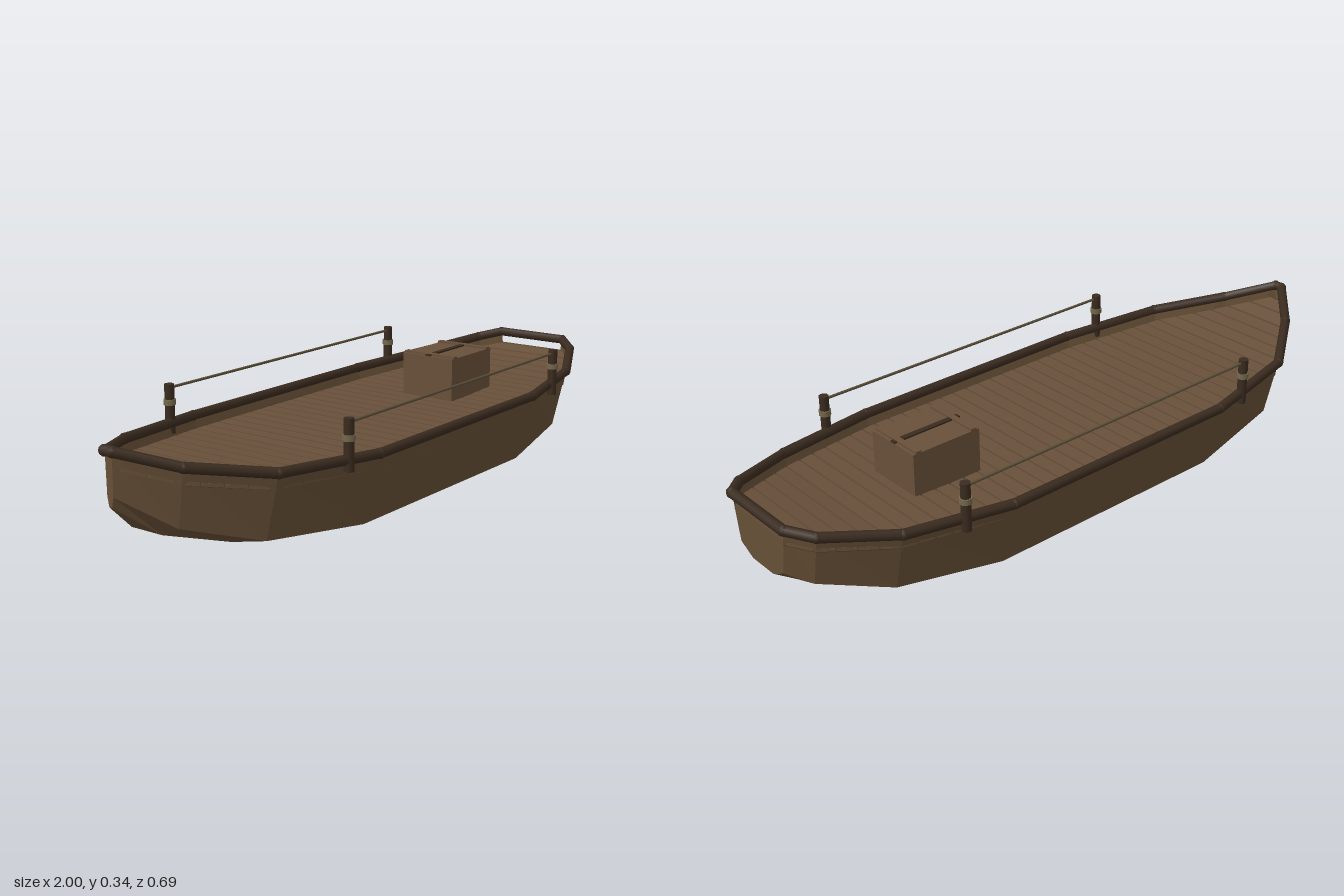
import * as THREE from 'three';
import { mergeGeometries } from 'three/addons/utils/BufferGeometryUtils.js';

const mat = (name, color, extra = {}) => Object.assign(new THREE.MeshStandardMaterial({ color, ...extra }), { name });

// Stations along the hull: x, sheer height, bottom height, sheer half width
const STATIONS = [
  [-0.985, 0.325, 0.185, 0.012],
  [-0.87, 0.28, 0.095, 0.13],
  [-0.68, 0.245, 0.035, 0.265],
  [-0.35, 0.23, 0, 0.328],
  [0.43, 0.23, 0, 0.328],
  [0.74, 0.243, 0.035, 0.27],
  [0.93, 0.272, 0.095, 0.178],
  [0.985, 0.288, 0.125, 0.118],
];
const DECK_DROP = 0.036;

// Sheer height and half width at any x
function sheerAt(x) {
  let i = 0;
  while (i < STATIONS.length - 2 && x > STATIONS[i + 1][0]) i++;
  const a = STATIONS[i], b = STATIONS[i + 1];
  const t = (x - a[0]) / (b[0] - a[0]);
  return { y: a[1] + (b[1] - a[1]) * t, w: a[3] + (b[3] - a[3]) * t };
}

// Flat-faced surface through rows of points
function loft(rows) {
  const pos = [];
  for (let i = 0; i < rows.length - 1; i++) {
    for (let j = 0; j < rows[i].length - 1; j++) {
      const a = rows[i][j], b = rows[i + 1][j], c = rows[i + 1][j + 1], d = rows[i][j + 1];
      pos.push(...a, ...b, ...c, ...a, ...c, ...d);
    }
  }
  const g = new THREE.BufferGeometry();
  g.setAttribute('position', new THREE.Float32BufferAttribute(pos, 3));
  g.computeVertexNormals();
  return g;
}

export function createModel() {
  const model = new THREE.Group();
  model.name = 'boat';
  const hullWood = mat('hull wood', 0x664f36, { side: THREE.DoubleSide });
  const deckWood = mat('deck wood', 0x68503a);
  const darkWood = mat('dark wood', 0x3a2b1f, { side: THREE.DoubleSide });
  const ropeMat = mat('rope', 0x5c5039);
  const bandMat = mat('post band', 0x74694c);

  const add = (name, geo, material, x = 0, y = 0, z = 0, parent = model) => {
    const m = new THREE.Mesh(geo, material);
    m.name = name;
    m.position.set(x, y, z);
    parent.add(m);
    return m;
  };

  // Rod between two points
  const rod = (a, b, r, sides) => {
    const dir = b.clone().sub(a);
    const g = new THREE.CylinderGeometry(r, r, dir.length(), sides);
    g.applyQuaternion(new THREE.Quaternion().setFromUnitVectors(new THREE.Vector3(0, 1, 0), dir.normalize()));
    return g.translate((a.x + b.x) / 2, (a.y + b.y) / 2, (a.z + b.z) / 2);
  };

  // Hull: sheer, chine and flat bottom on each side
  const half = ([x, ys, yb, w]) => [[x, ys, w], [x, yb + 0.027, w * 0.84], [x, yb, w * 0.4]];
  const mirror = ([x, y, z]) => [x, y, -z];
  const section = (s) => [...half(s), ...half(s).reverse().map(mirror)];
  add('hull', loft(STATIONS.map(section)), hullWood);

  // End walls; the stern wall stops at the deck, leaving a slot under the rail
  const endWall = (s, drop) => {
    const side = half(s);
    side[0] = [s[0], s[1] - drop, s[3] * (1 - drop)];
    return loft([side.map(mirror), side]);
  };
  add('sternWall', endWall(STATIONS[7], DECK_DROP), hullWood);
  add('bowWall', endWall(STATIONS[0], 0), hullWood);

  // Dark sheet below the planks, seen through the gaps
  const sheet = STATIONS.map(([x, y, , w]) => [[x, y - DECK_DROP - 0.01, w * 0.97], [x, y - DECK_DROP - 0.01, -w * 0.97]]);
  add('underDeck', loft(sheet), darkWood);

  // Deck planks, shaped to the hull outline
  const planks = [];
  const count = 41, x0 = -0.975, pitch = 1.956 / count, gap = 0.006;
  for (let i = 0; i < count; i++) {
    const g = new THREE.BoxGeometry(1, 1, 1);
    const p = g.attributes.position;
    for (let k = 0; k < p.count; k++) {
      const x = x0 + pitch * (i + 0.5) + p.getX(k) * (pitch - gap);
      const { y, w } = sheerAt(x);
      p.setXYZ(k, x, y - DECK_DROP + (p.getY(k) - 0.5) * 0.009, p.getZ(k) * 2 * w * 0.965);
    }
    g.computeVertexNormals();
    planks.push(g);
  }
  add('deckPlanks', mergeGeometries(planks), deckWood);

  // Rail following the sheer all the way round
  const port = STATIONS.map(([x, y, , w]) => new THREE.Vector3(x, y, w));
  const loop = [...port, ...port.map((v) => new THREE.Vector3(v.x, v.y, -v.z)).reverse()];
  const railParts = [];
  loop.forEach((v, i) => {
    railParts.push(rod(v, loop[(i + 1) % loop.length], 0.0145, 8));
    railParts.push(new THREE.SphereGeometry(0.0155, 8, 6).translate(v.x, v.y, v.z));
  });
  add('rail', mergeGeometries(railParts), darkWood);

  // Posts with bands, joined by a rope on each side
  const postX = [-0.46, 0.575];
  for (const z of [0.311, -0.311]) {
    const side = new THREE.Group();
    side.name = z > 0 ? 'frontRopeRail' : 'backRopeRail';
    model.add(side);
    for (const x of postX) {
      add('post', new THREE.CylinderGeometry(0.014, 0.014, 0.14, 10), darkWood, x, 0.275, z, side);
      add('postBand', new THREE.CylinderGeometry(0.0175, 0.0175, 0.016, 10), bandMat, x, 0.294, z, side);
    }
    const ends = postX.map((x) => new THREE.Vector3(x, 0.334, z));
    add('rope', rod(ends[0], ends[1], 0.004, 6), ropeMat, 0, 0, 0, side);
  }

  // Storage box with lid battens and a dark centre strip
  const chest = new THREE.Group();
  chest.name = 'chest';
  chest.position.set(0.46, 0, 0);
  model.add(chest);
  add('chestBody', new THREE.BoxGeometry(0.22, 0.136, 0.18), deckWood, 0, 0.256, 0, chest);
  for (const x of [-0.092, 0.092]) {
    add('lidBatten', new THREE.BoxGeometry(0.018, 0.007, 0.18), deckWood, x, 0.3265, 0, chest);
  }
  add('lidStrip', new THREE.BoxGeometry(0.22, 0.005, 0.016), darkWood, 0, 0.3262, 0, chest);

  return model;
}
